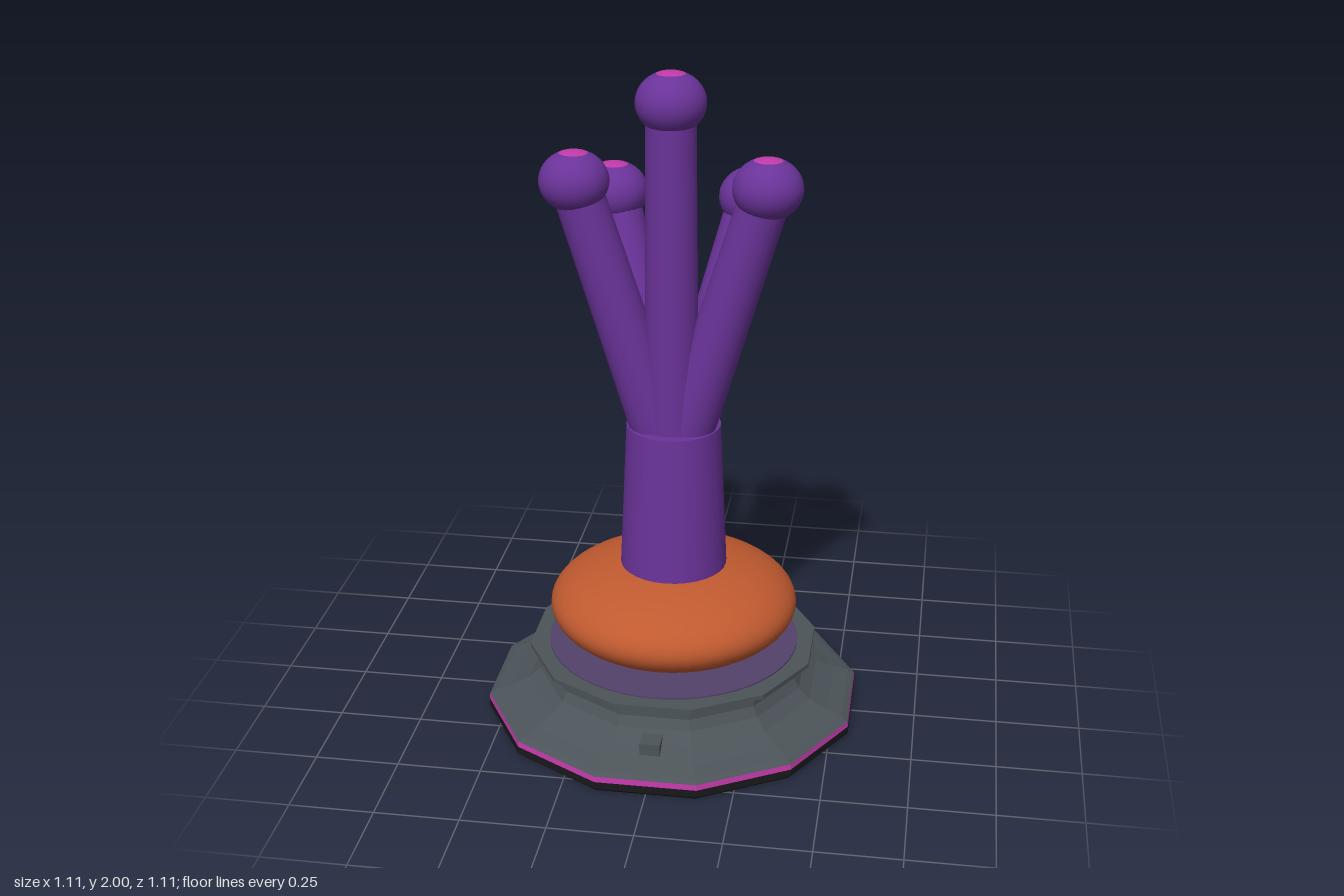
import * as THREE from 'three';

const mat = (name, color, opts = {}) => {
  const m = new THREE.MeshStandardMaterial({ color, ...opts });
  m.name = name;
  return m;
};

export function createModel() {
  const model = new THREE.Group();
  model.name = 'handTrophy';

  const purple = mat('purple', 0x6a3399);
  const orange = mat('orange', 0xc05a30);
  const grey = mat('slateGrey', 0x4c5459, { flatShading: true });
  const black = mat('black', 0x18181b, { flatShading: true });
  const pink = mat('pink', 0xc03aa8, { flatShading: true });
  const mauve = mat('dullMauve', 0x54426a);

  const add = (name, geometry, material, parent = model) => {
    const mesh = new THREE.Mesh(geometry, material);
    mesh.name = name;
    parent.add(mesh);
    return mesh;
  };

  // Twelve-sided turning; radii are measured to the middle of a flat side
  const turned = (points) => new THREE.LatheGeometry(
    points.map(([r, y]) => new THREE.Vector2(r / Math.cos(Math.PI / 12), y)),
    12, Math.PI / 12);

  // Plinth: black foot, pink stripe, flared grey body
  add('foot', turned([[0, 0], [0.545, 0], [0.555, 0.01], [0.555, 0.033]]), black);
  add('footStripe', turned([[0.555, 0.033], [0.553, 0.05]]), pink);
  add('plinth', turned([
    [0.553, 0.05], [0.535, 0.06], [0.49, 0.075], [0.435, 0.1], [0.4, 0.13],
    [0.385, 0.16], [0.385, 0.185], [0.41, 0.2], [0.427, 0.207], [0.427, 0.22], [0, 0.22],
  ]), grey);
  for (const side of [1, -1]) {
    const block = add('plinthBlock', new THREE.BoxGeometry(0.06, 0.05, 0.07), grey);
    block.position.set(0, 0.095, side * 0.437);
  }

  // Inlaid disc and cushion
  const inlay = add('inlayDisc', new THREE.CylinderGeometry(0.382, 0.382, 0.006, 48), mauve);
  inlay.position.y = 0.222;
  const cushion = add('cushion', new THREE.SphereGeometry(0.375, 48, 28), orange);
  cushion.scale.y = 0.147 / 0.375;
  cushion.position.y = 0.35;

  // Wrist
  const wrist = add('wrist', new THREE.CylinderGeometry(0.14, 0.162, 0.49, 32), purple);
  wrist.position.y = 0.69;

  // Finger: tapered stalk with a flattened ball and pink tip
  const up = new THREE.Vector3(0, 1, 0);
  const tipAngle = 0.42;
  const finger = (name, root, tip) => {
    const group = new THREE.Group();
    group.name = name;
    model.add(group);
    const a = new THREE.Vector3(...root), b = new THREE.Vector3(...tip);
    const dir = b.clone().sub(a);
    const stalk = add('stalk', new THREE.CylinderGeometry(0.071, 0.08, dir.length(), 24), purple, group);
    stalk.position.copy(a).lerp(b, 0.5);
    stalk.quaternion.setFromUnitVectors(up, dir.normalize());
    const ball = add('ball', new THREE.SphereGeometry(
      0.1, 28, 18, 0, Math.PI * 2, tipAngle, Math.PI - tipAngle), purple, group);
    const cap = add('pinkTip', new THREE.SphereGeometry(
      0.1, 28, 4, 0, Math.PI * 2, 0, tipAngle), pink, group);
    for (const part of [ball, cap]) {
      part.position.copy(b);
      part.scale.y = 0.88;
    }
  };

  finger('middleFinger', [0, 0.88, 0.03], [0, 1.912, 0.053]);
  for (const [label, s] of [['left', 1], ['right', -1]]) {
    finger(label + 'FrontFinger', [s * 0.03, 0.88, 0.02], [s * 0.273, 1.682, 0.065]);
    finger(label + 'BackFinger', [s * 0.025, 0.88, -0.02], [s * 0.205, 1.582, -0.19]);
  }

  return model;
}
